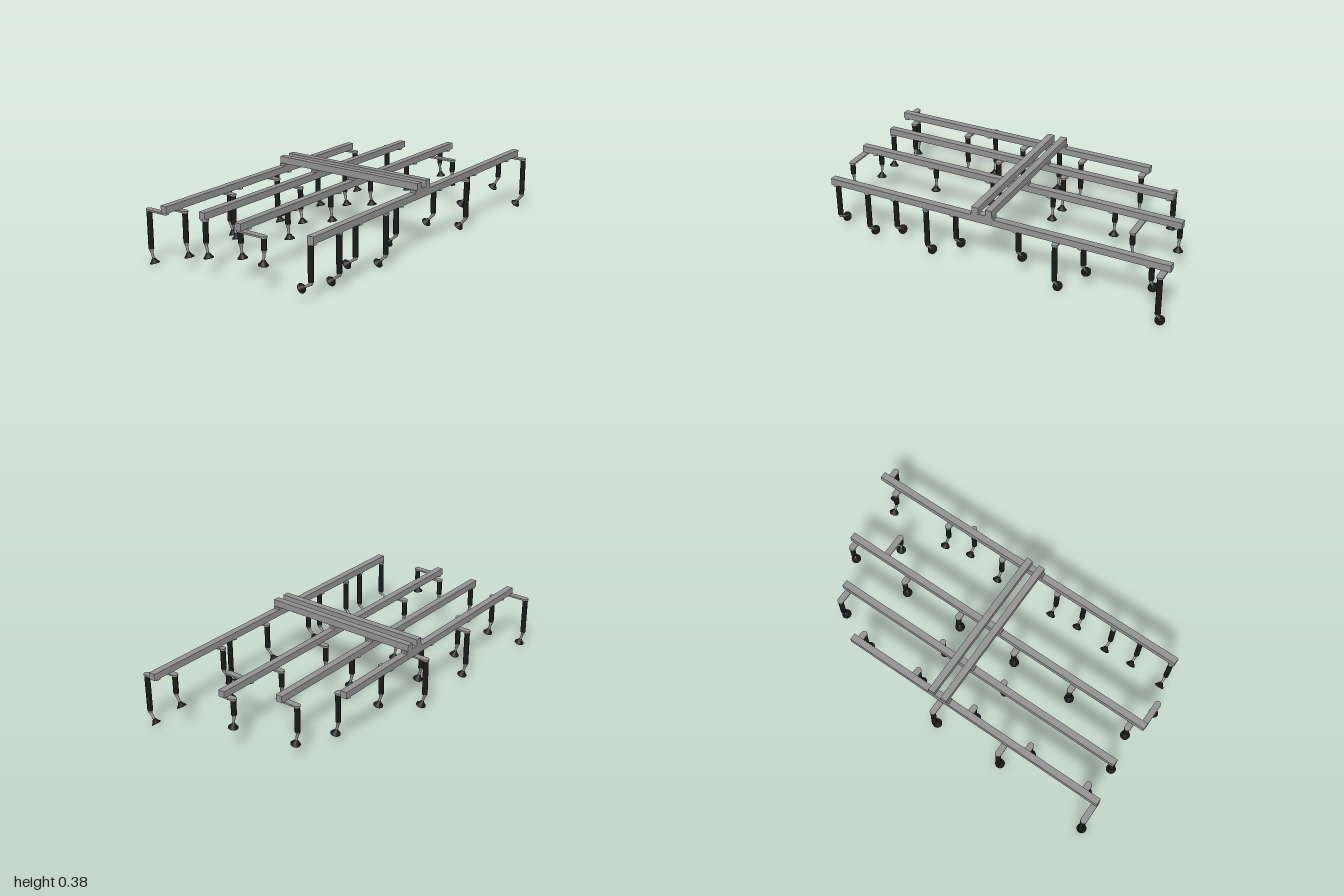
import * as THREE from 'three';

const grey = new THREE.MeshStandardMaterial({ color: 0x929292 });
const dark = new THREE.MeshStandardMaterial({ color: 0x191919 });
const ARM_Y = 0.286, ARM_T = 0.009, ARM_R = 0.017;

function add(parent, name, geometry, material, x = 0, y = 0, z = 0) {
  const mesh = new THREE.Mesh(geometry, material);
  mesh.name = name;
  mesh.position.set(x, y, z);
  parent.add(mesh);
  return mesh;
}

const bar = (w, h, d) => new THREE.BoxGeometry(w, h, d);

// Flat arm with rounded ends, running along x between two centres
function armGeometry(x0, x1) {
  const a = Math.min(x0, x1), b = Math.max(x0, x1);
  const s = new THREE.Shape();
  s.moveTo(a, -ARM_R);
  s.lineTo(b, -ARM_R);
  s.absarc(b, 0, ARM_R, -Math.PI / 2, Math.PI / 2, false);
  s.lineTo(a, ARM_R);
  s.absarc(a, 0, ARM_R, Math.PI / 2, Math.PI * 1.5, false);
  const g = new THREE.ExtrudeGeometry(s, { depth: ARM_T, bevelEnabled: false, curveSegments: 10 });
  return g.rotateX(-Math.PI / 2);
}

// Suction foot along -y: ball joint, neck and flared cup, pivot at the origin
const NECK = 0.068;
const neckGeometry = new THREE.CylinderGeometry(0.008, 0.006, 0.046, 14).translate(0, -0.023, 0);
const ballGeometry = new THREE.SphereGeometry(0.01, 14, 10);
const cupGeometry = new THREE.LatheGeometry(
  [[0, -NECK], [0.026, -NECK], [0.026, -0.065], [0.016, -0.054], [0.009, -0.042], [0, -0.04]]
    .map(([r, y]) => new THREE.Vector2(r, y)), 20);

// One support: arm from the rail, vertical strut and a tilted foot
function support(parent, railX, [strutX, footX, footY, z]) {
  const leg = new THREE.Group();
  leg.name = 'support';
  leg.position.z = z;
  parent.add(leg);

  const dx = footX - strutX;
  const pivotY = footY + Math.sqrt(NECK * NECK - dx * dx);
  const bottom = pivotY + 0.01;
  add(leg, 'arm', armGeometry(railX, strutX), grey, 0, ARM_Y, 0);
  add(leg, 'strut', new THREE.CylinderGeometry(0.0145, 0.0145, ARM_Y - bottom, 20),
    dark, strutX, (ARM_Y + bottom) / 2, 0);
  add(leg, 'collar', new THREE.CylinderGeometry(0.0135, 0.009, 0.012, 16), grey, strutX, pivotY + 0.004, 0);

  const foot = new THREE.Group();
  foot.name = 'foot';
  foot.position.set(strutX, pivotY, 0);
  foot.rotation.z = Math.asin(dx / NECK);
  leg.add(foot);
  add(foot, 'ballJoint', ballGeometry, grey);
  add(foot, 'neck', neckGeometry, grey);
  add(foot, 'suctionCup', cupGeometry, dark);
}

const ROW = [-0.885, -0.53, -0.175, 0.183, 0.538, 0.893];

// Rails: centre x, z extent, and supports as [strut x, foot x, foot y, z]
const RAILS = [
  { x: -0.409, z0: -0.56, z1: 0.985, legs: [
    ...ROW.slice(1).map(z => [-0.354, -0.336, 0.055, z]),
    [-0.493, -0.47, 0.015, 0.02], [-0.483, -0.462, 0.02, 0.425], [-0.522, -0.502, 0.01, 0.972]] },
  { x: -0.19, z0: -0.78, z1: 0.945, legs: [
    [-0.276, -0.26, 0.07, -0.747], [-0.153, -0.139, 0.098, -0.16],
    [-0.153, -0.139, 0.098, 0.233], [-0.183, -0.169, 0.098, 0.93]] },
  { x: 0.059, z0: -0.915, z1: 0.968, legs: [
    ...ROW.map(z => [0.01, 0.02, 0.126, z]),
    [0.207, 0.2, 0.148, -0.705], [0.207, 0.2, 0.148, 0.952]] },
  { x: 0.45, z0: -1, z1: 0.912, legs: [
    // Inner feet lean further towards the front
    ...ROW.map((z, i) => [0.407 + i * 0.0058, 0.373 + i * 0.001, 0.118 - i * 0.0125, z]),
    [0.52, 0.48, 0.018, -0.967], [0.482, 0.439, 0.022, -0.405],
    [0.466, 0.419, 0.022, 0.333], [0.452, 0.401, 0.034, 0.697]] },
];

export function createModel() {
  const model = new THREE.Group();
  model.name = 'suctionGripperFrame';

  // Twin cross beams
  for (const z of [-0.033, 0.044]) {
    add(model, 'crossBeam', bar(0.902, 0.038, 0.037), grey, 0.021, 0.362, z);
  }

  // Long rails with mounting plates and supports
  for (const { x, z0, z1, legs } of RAILS) {
    const rail = new THREE.Group();
    rail.name = 'railAssembly';
    model.add(rail);
    add(rail, 'rail', bar(0.037, 0.036, z1 - z0), grey, x, 0.313, (z0 + z1) / 2);
    add(rail, 'mountingPlate', bar(0.037, 0.014, 0.13), grey, x, 0.337, 0.006);
    legs.forEach(leg => support(rail, x, leg));
  }
  return model;
}
